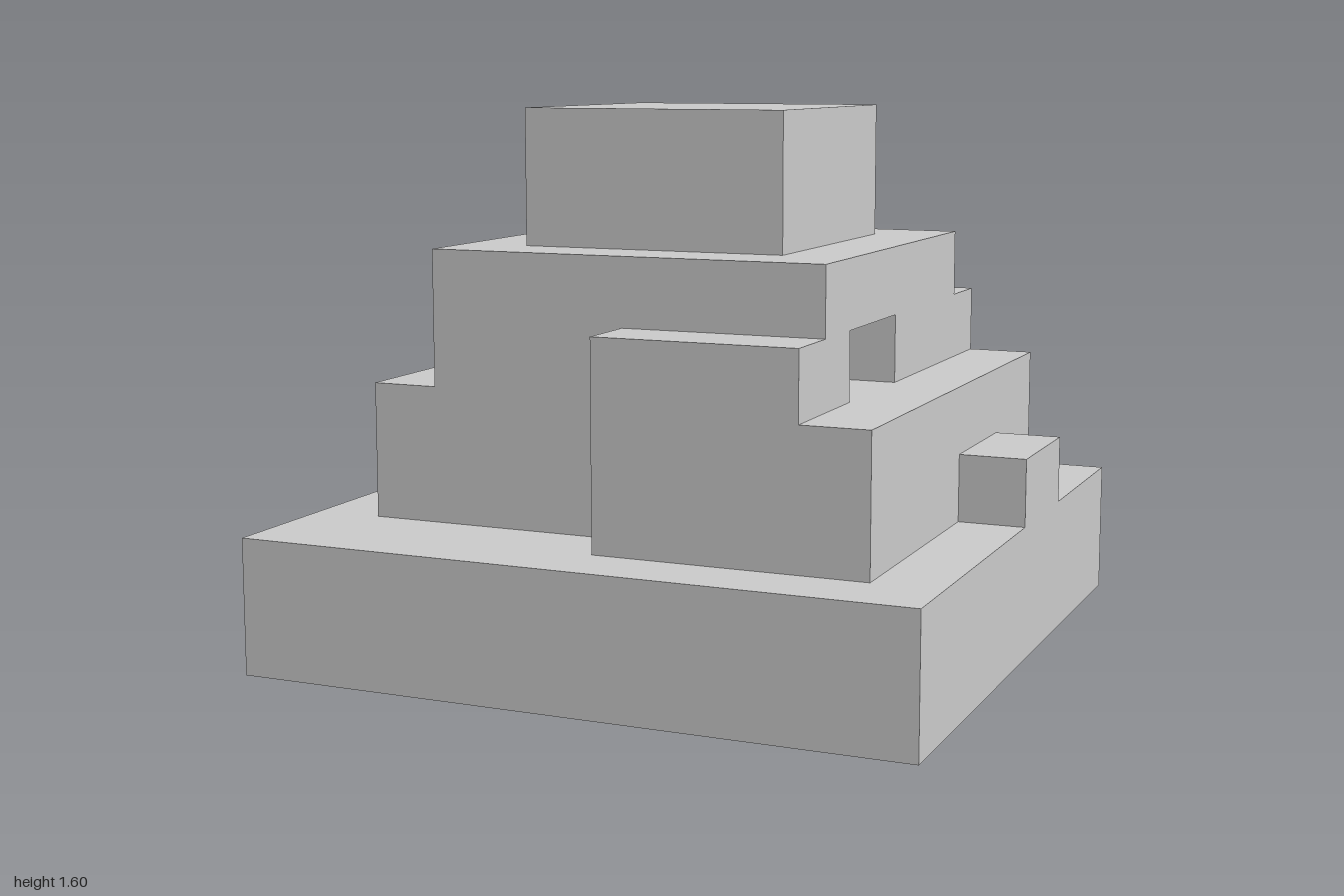
import * as THREE from 'three';

const material = new THREE.MeshStandardMaterial({ color: 0xcccccc, flatShading: true });

// Block given by its extents on each axis
function block(name, [x0, x1], [y0, y1], [z0, z1]) {
  const mesh = new THREE.Mesh(new THREE.BoxGeometry(x1 - x0, y1 - y0, z1 - z0), material);
  mesh.position.set((x0 + x1) / 2, (y0 + y1) / 2, (z0 + z1) / 2);
  mesh.name = name;
  return mesh;
}

function rectangle(Type, [u0, u1], [v0, v1]) {
  return new Type([[u0, v0], [u1, v0], [u1, v1], [u0, v1]].map(([u, v]) => new THREE.Vector2(u, v)));
}

// Upright slab with a rectangular opening, extruded along +z
function piercedSlab(name, u, v, holeU, holeV, depth) {
  const shape = rectangle(THREE.Shape, u, v);
  shape.holes.push(rectangle(THREE.Path, holeU, holeV));
  const mesh = new THREE.Mesh(new THREE.ExtrudeGeometry(shape, { depth, bevelEnabled: false }), material);
  mesh.name = name;
  return mesh;
}

export function createModel() {
  const model = new THREE.Group();
  model.name = 'steppedPyramid';

  // Main tiers
  model.add(
    block('base', [-1, 1], [0, 0.4], [-1, 1]),
    block('core', [-0.6, 0.4], [0.4, 1.2], [-0.6, 0.6]),
    block('topBlock', [-0.4, 0.4], [1.2, 1.6], [-0.4, 0.4]),
  );

  // Facing of the core on +x, with a niche
  const nicheWall = piercedSlab('nicheWall', [-0.6, 0.6], [0.4, 1.2], [0, 0.4], [0.8, 1], 0.2);
  nicheWall.rotation.y = -Math.PI / 2;
  nicheWall.position.x = 0.6;
  model.add(nicheWall);

  // Back terrace, with a window recess
  const backTerrace = piercedSlab('backTerrace', [-0.6, 0.6], [0.4, 1], [0, 0.4], [0.6, 0.8], 0.2);
  backTerrace.position.z = -0.8;
  model.add(backTerrace);

  // Side terraces, front block and small step
  model.add(
    block('rightSideTerrace', [-0.8, -0.6], [0.4, 0.8], [-0.8, 0.6]),
    block('leftSideTerrace', [0.6, 0.8], [0.4, 0.8], [-0.8, 0.8]),
    block('frontBlock', [0, 0.6], [0.4, 1], [0.6, 0.8]),
    block('sideStep', [0.8, 1], [0.4, 0.6], [-0.4, 0]),
  );

  return model;
}
